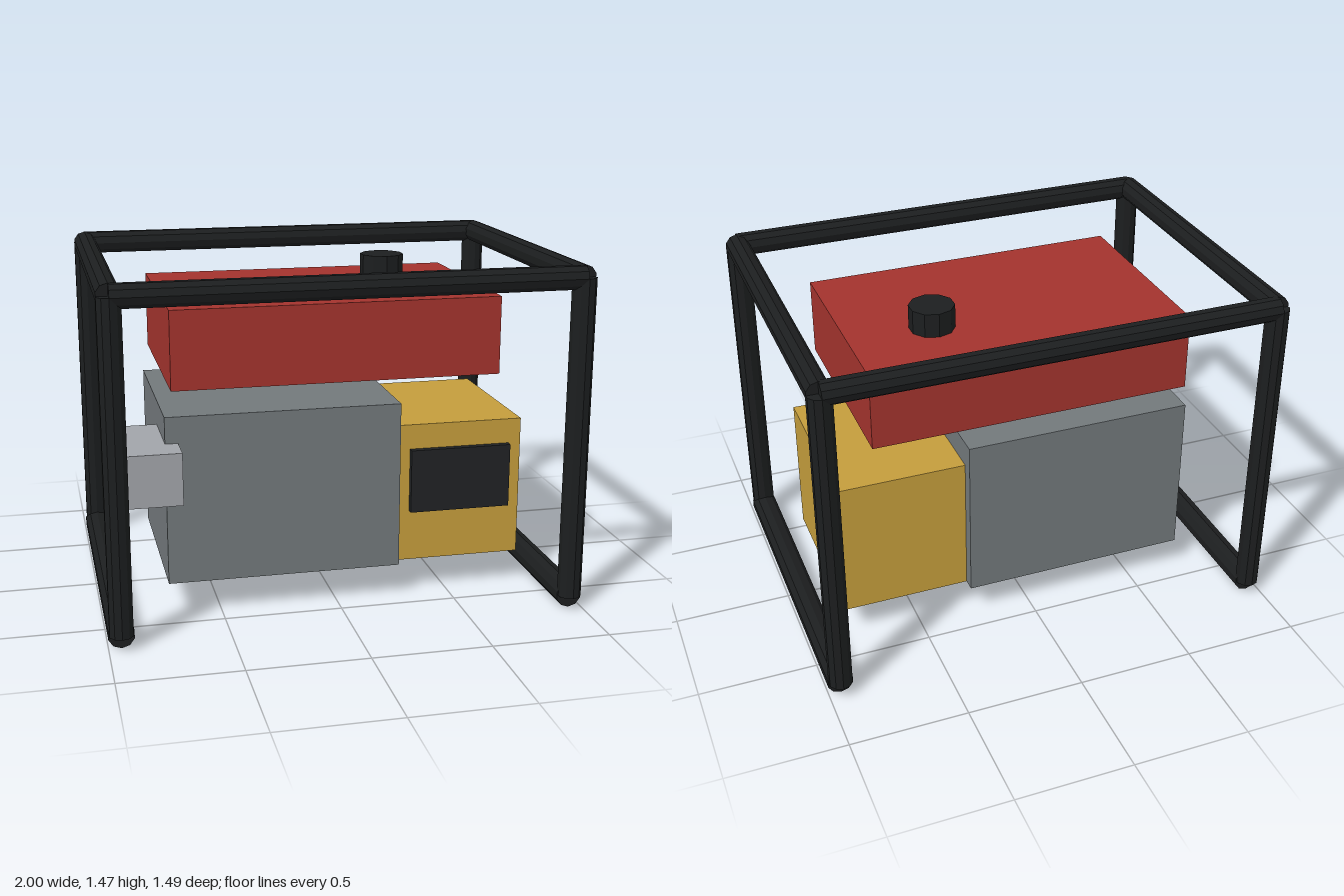
import * as THREE from 'three';

const mat = (color) => new THREE.MeshStandardMaterial({ color, flatShading: true });

export function createModel() {
  const model = new THREE.Group();
  const black = mat(0x1c1e1f);
  const panelBlack = mat(0x202224);

  const add = (parent, name, geometry, material, x, y, z) => {
    const mesh = new THREE.Mesh(geometry, material);
    mesh.name = name;
    mesh.position.set(x, y, z);
    parent.add(mesh);
    return mesh;
  };

  // Box given by its extents along each axis
  const box = (name, material, [x0, x1], [y0, y1], [z0, z1]) =>
    add(model, name, new THREE.BoxGeometry(x1 - x0, y1 - y0, z1 - z0), material,
      (x0 + x1) / 2, (y0 + y1) / 2, (z0 + z1) / 2);

  // Ten-sided frame tube along an axis
  const frame = new THREE.Group();
  frame.name = 'frame';
  model.add(frame);
  const tube = (name, axis, radius, length, x, y, z) => {
    const g = new THREE.CylinderGeometry(radius, radius, length, 10);
    if (axis === 'x') g.rotateZ(Math.PI / 2);
    if (axis === 'z') g.rotateX(Math.PI / 2);
    add(frame, name, g, black, x, y, z);
  };

  // Tubular frame: tubes end on the corner centres
  const fx = 0.947, fz = 0.695, low = 0.055, high = 1.421;
  for (const s of [-1, 1]) {
    tube('bottomRail', 'z', 0.055, 2 * fz, s * fx, low, 0);
    tube('topSideRail', 'z', 0.05, 2 * fz, s * fx, high, 0);
    tube('topCrossRail', 'x', 0.05, 2 * fx, 0, high, s * fz);
    for (const t of [-1, 1]) {
      tube('post', 'y', 0.05, high - low, s * fx, (high + low) / 2, t * fz);
    }
  }

  // Fuel tank and its cap
  box('fuelTank', mat(0xa3332d), [-0.695, 0.692], [0.977, 1.308], [-0.444, 0.444]);
  add(model, 'fuelCap', new THREE.CylinderGeometry(0.096, 0.096, 0.11, 10), black, 0.332, 1.355, -0.143);

  // Engine, generator housing, control panel and muffler
  box('engine', mat(0x72787b), [-0.722, 0.274], [0.142, 0.863], [-0.416, 0.416]);
  box('generatorHousing', mat(0xc49d3c), [0.272, 0.829], [0.142, 0.752], [-0.361, 0.361]);
  box('controlPanel', panelBlack, [0.332, 0.775], [0.366, 0.644], [0.35, 0.39]);
  box('muffler', mat(0xa1a4a9), [-0.895, -0.668], [0.531, 0.751], [0.111, 0.556]);

  return model;
}
